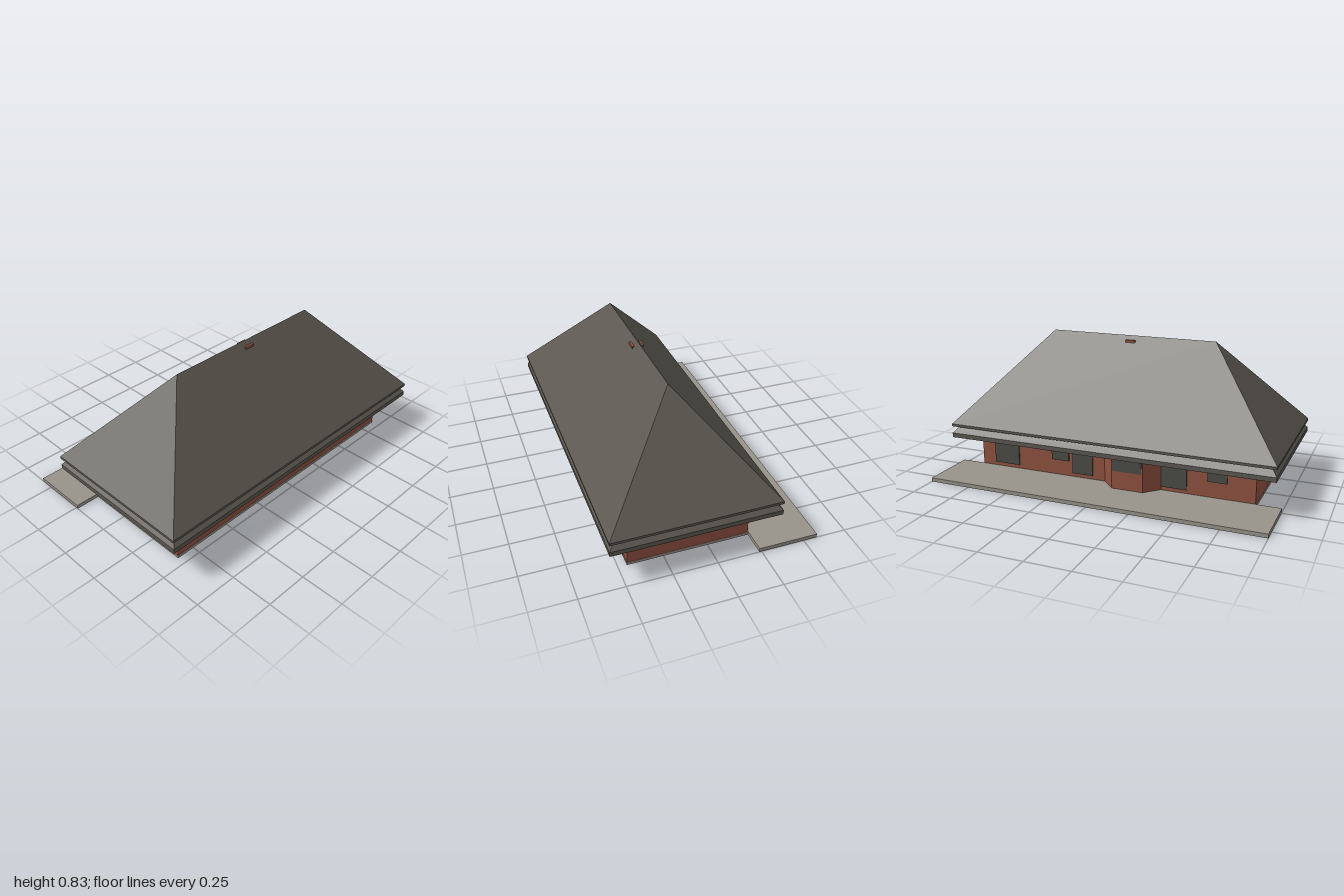
import * as THREE from 'three';

const material = (name, color) => {
  const m = new THREE.MeshStandardMaterial({ color });
  m.name = name;
  return m;
};

export function createModel() {
  const model = new THREE.Group();
  model.name = 'house';
  const brick = material('brick', 0x8f5141);
  const tiles = material('roofTiles', 0x5b5750);
  const stone = material('stone', 0x97928a);
  const glass = material('darkGlass', 0x4b4c46);

  const add = (name, geometry, mat) => {
    const mesh = new THREE.Mesh(geometry, mat);
    mesh.name = name;
    model.add(mesh);
    return mesh;
  };

  // Box given by its limits on each axis
  const box = (name, mat, x0, x1, y0, y1, z0, z1) => {
    const mesh = add(name, new THREE.BoxGeometry(x1 - x0, y1 - y0, z1 - z0), mat);
    mesh.position.set((x0 + x1) / 2, (y0 + y1) / 2, (z0 + z1) / 2);
    return mesh;
  };

  // Flat-faced solid through stacked rectangles [halfX, halfZ, y] around z = zc
  const loft = (levels, zc) => {
    const rings = levels.map(([hx, hz, y]) =>
      [[-hx, hz], [hx, hz], [hx, -hz], [-hx, -hz]].map(([x, z]) => [x, y, zc + z]));
    const p = [];
    const quad = (a, b, c, d) => p.push(...a, ...b, ...c, ...a, ...c, ...d);
    for (let i = 0; i + 1 < rings.length; i++) {
      for (let k = 0; k < 4; k++) {
        const n = (k + 1) % 4;
        quad(rings[i][k], rings[i][n], rings[i + 1][n], rings[i + 1][k]);
      }
    }
    const [a, b, c, d] = rings[0];
    quad(d, c, b, a);
    const [e, f, g, h] = rings[rings.length - 1];
    quad(e, f, g, h);
    const geometry = new THREE.BufferGeometry();
    geometry.setAttribute('position', new THREE.Float32BufferAttribute(p, 3));
    geometry.computeVertexNormals();
    return geometry;
  };

  // Ground: floor slab and wide rear terrace
  box('floorSlab', stone, -0.858, 0.858, 0, 0.016, -0.237, 0.452);
  box('terrace', stone, -1, 1, 0, 0.023, -0.578, -0.237);

  // Main walls
  box('walls', brick, -0.856, 0.856, 0.016, 0.24, -0.235, 0.45);

  // Rear bay with slanted cheeks
  const plan = new THREE.Shape([
    new THREE.Vector2(0.04, 0.23), new THREE.Vector2(-0.318, 0.23),
    new THREE.Vector2(-0.233, 0.32), new THREE.Vector2(-0.045, 0.32),
  ]);
  const bay = new THREE.ExtrudeGeometry(plan, { depth: 0.2, bevelEnabled: false });
  bay.rotateX(-Math.PI / 2);
  bay.translate(0, 0.02, 0);
  add('bay', bay, brick);
  box('bayWindow', glass, -0.225, -0.05, 0.13, 0.215, -0.323, -0.319);

  // Front windows
  for (let i = -2; i <= 2; i++) {
    box('frontWindow', glass, i * 0.32 - 0.053, i * 0.32 + 0.053, 0.112, 0.23, 0.449, 0.457);
  }

  // Rear windows and doors
  for (const x of [0.32, -0.64]) {
    box('rearWindow', glass, x - 0.056, x + 0.056, 0.115, 0.23, -0.243, -0.234);
  }
  for (const [x, w] of [[0.683, 0.166], [0.175, 0.13], [-0.39, 0.15]]) {
    box('rearDoor', glass, x - w / 2, x + w / 2, 0.045, 0.23, -0.243, -0.234);
  }

  // Double eaves: a cut-off lower roof below a full hipped roof
  const zc = 0.106;
  add('lowerRoof', loft([[0.986, 0.47, 0.213], [0.986, 0.47, 0.24], [0.945, 0.428, 0.287]], zc), tiles);
  add('upperRoof', loft([[0.986, 0.47, 0.282], [0.986, 0.47, 0.297], [0.512, 0, 0.828]], zc), tiles);

  // Chimney barely breaking through the slopes beside the ridge
  box('chimney', brick, -0.03, 0.03, 0.7, 0.804, zc - 0.034, zc + 0.034);

  return model;
}
